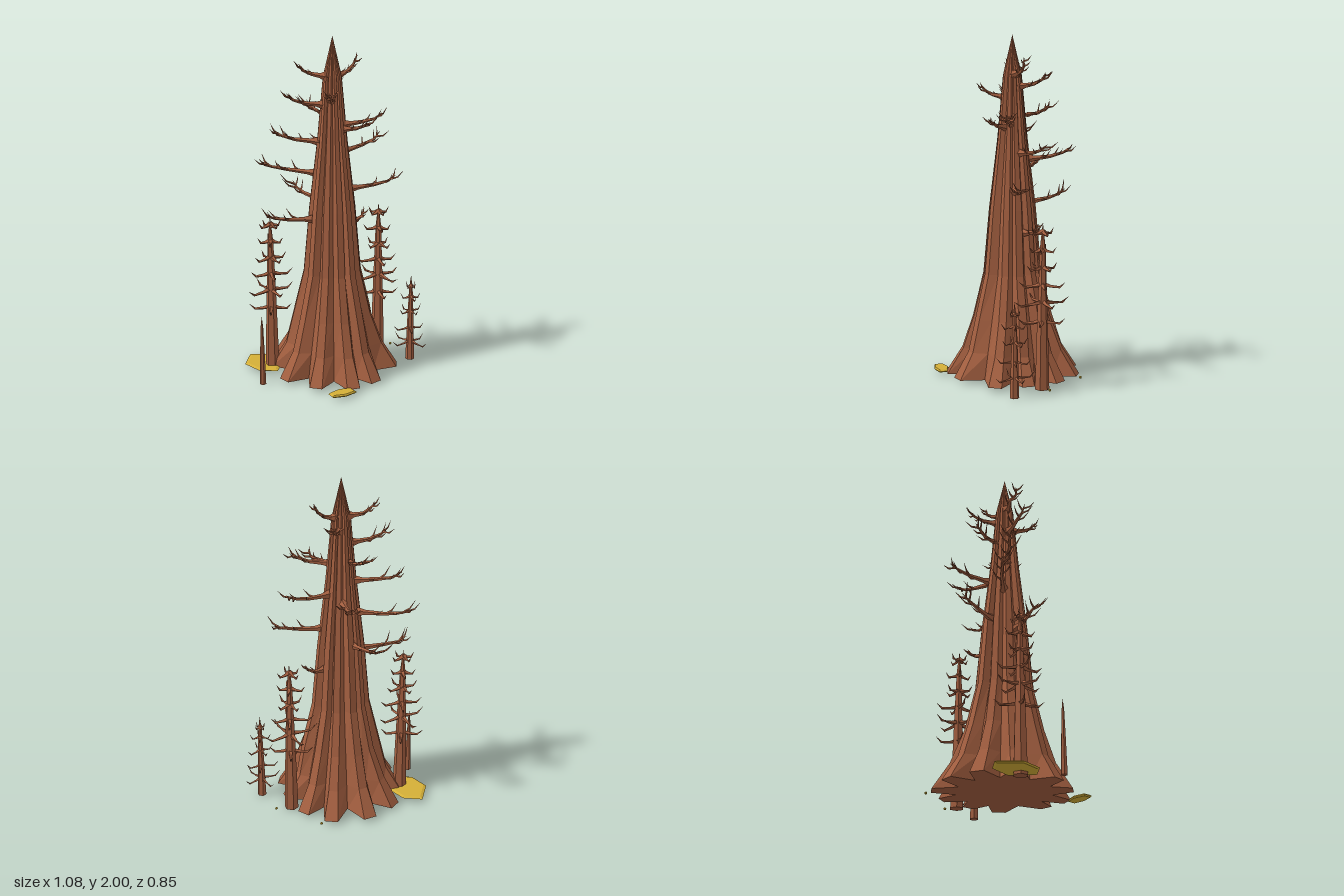
import * as THREE from 'three';
import { mergeGeometries } from 'three/addons/utils/BufferGeometryUtils.js';

const V = (x, y, z) => new THREE.Vector3(x, y, z);
const UP = V(0, 1, 0);
const bark = new THREE.MeshStandardMaterial({ color: 0xa35f40, flatShading: true });
const moss = new THREE.MeshStandardMaterial({ color: 0xd4af37, flatShading: true });

// small seeded generator, returns -1..1
let seed = 7;
const rnd = () => {
  seed = (seed * 16807) % 2147483647;
  return (seed / 2147483647) * 2 - 1;
};

// skin a list of equal-length rings and close both ends
function loft(rings) {
  const pos = [];
  const tri = (...p) => p.forEach((q) => pos.push(q.x, q.y, q.z));
  const n = rings[0].length;
  const middle = (ring) => ring.reduce((s, p) => s.add(p), V(0, 0, 0)).divideScalar(n);
  const last = rings.length - 1;
  const c0 = middle(rings[0]), c1 = middle(rings[last]);
  for (let j = 0; j < n; j++) {
    const k = (j + 1) % n;
    for (let i = 0; i < last; i++) {
      const a = rings[i], b = rings[i + 1];
      tri(a[j], a[k], b[k]);
      tri(a[j], b[k], b[j]);
    }
    tri(c0, rings[0][k], rings[0][j]);
    tri(c1, rings[last][j], rings[last][k]);
  }
  const g = new THREE.BufferGeometry();
  g.setAttribute('position', new THREE.Float32BufferAttribute(pos, 3));
  g.computeVertexNormals();
  return g;
}

// tapered, faceted limb along a few points
function limb(points, radii, sides = 4) {
  return loft(points.map((p, i) => {
    const d = points[Math.min(i + 1, points.length - 1)].clone()
      .sub(points[Math.max(i - 1, 0)]).normalize();
    const u = V(0, 0, 1).addScaledVector(d, -d.z);
    if (u.lengthSq() < 0.05) u.set(1, 0, 0).addScaledVector(d, -d.x);
    u.normalize();
    const v = d.clone().cross(u);
    return Array.from({ length: sides }, (_, j) => {
      const a = (j / sides) * Math.PI * 2;
      return p.clone().addScaledVector(u, Math.cos(a) * radii[i])
        .addScaledVector(v, Math.sin(a) * radii[i]);
    });
  }));
}

function add(group, name, geometry, material = bark) {
  const mesh = new THREE.Mesh(geometry, material);
  mesh.name = name;
  group.add(mesh);
  return mesh;
}

// fluted trunk: every root gives two ridge points and one valley
function trunk() {
  const roots = [[-0.1, 0.39], [0.33, 0.375], [1.1, 0.385], [1.62, 0.36], [2.19, 0.38], [2.67, 0.4],
    [3.27, 0.4], [3.78, 0.4], [4.34, 0.37], [5.01, 0.38], [5.6, 0.375]];
  const levels = [ // height, ridge radius, valley radius, ridge half angle
    [0.02, 0.385, 0.265, 0.1], [0.17, 0.292, 0.235, 0.09], [0.36, 0.232, 0.195, 0.1],
    [0.62, 0.17, 0.138, 0.12], [1.0, 0.136, 0.11, 0.13], [1.4, 0.088, 0.07, 0.14],
    [1.77, 0.054, 0.043, 0.14], [2.0, 0.0005, 0.0005, 0.14]];
  return loft(levels.map(([y, ridge, valley, half], level) => {
    const ring = [];
    const at = (a, r) => ring.push(V(-0.04 + Math.sin(a) * r, y, -0.03 + Math.cos(a) * r));
    roots.forEach(([a, r], i) => {
      const next = i + 1 < roots.length ? roots[i + 1][0] : roots[0][0] + Math.PI * 2;
      const R = level < 2 ? ridge * r / 0.385 : ridge * (1 + 0.04 * Math.sin(i * 2.4));
      at(a - half, R);
      at(a + half, R);
      at((a + next) / 2, valley);
    });
    return ring;
  }));
}

// dead branch: flared foot, slightly drooping arm, upswept twigs
function deadBranch(tip, y0, r0) {
  const axis = V(-0.04, y0, -0.03);
  const out = V(tip.x - axis.x, 0, tip.z - axis.z);
  const reach = out.length();
  out.normalize();
  const side = V(out.z, 0, -out.x);
  const at = (r, y, s = 0) => axis.clone().addScaledVector(out, r).addScaledVector(side, s).setY(y);
  const len = reach - r0, rise = tip.y - y0;
  const path = [at(r0 * 0.6, y0 - 0.005), at(r0 + 0.15 * len, y0), at(r0 + 0.5 * len, y0 + 0.15 * rise, 0.01 * rnd()),
    at(r0 + 0.8 * len, y0 + 0.45 * rise, 0.015 * rnd()), tip];
  const parts = [limb(path, [0.036, 0.015, 0.011, 0.008, 0.0005], 5)];
  [[1, 0.4], [2, 0], [2, 0.5], [3, 0], [3, 0.3], [3, 0.5]].forEach(([i, t], k) => {
    const p = path[i].clone().lerp(path[i + 1], t);
    const s = k % 2 ? 1 : -1;
    const dir = out.clone().multiplyScalar(0.65).addScaledVector(side, s * (0.75 + 0.2 * rnd()))
      .addScaledVector(UP, 0.2 + 0.15 * rnd()).normalize();
    const l = Math.min(0.075, len * 0.38) * (1 + 0.25 * rnd());
    const mid = p.clone().addScaledVector(dir, l * 0.55);
    const end = p.clone().addScaledVector(dir, l).addScaledVector(UP, l * 0.35);
    parts.push(limb([p, mid, end], [0.007, 0.005, 0.0004], 4));
  });
  return mergeGeometries(parts);
}

// small dead tree with tiers of spiky branches
function snag(name, x, z, height, radius, tiers) {
  const g = new THREE.Group();
  g.name = name;
  g.position.set(x, 0, z);
  add(g, name + 'Trunk', limb([V(0, 0, 0), V(0, height * 0.45, 0), V(0, height * 0.85, 0), V(0, height, 0)],
    [radius, radius * 0.72, radius * 0.4, 0.0005], 6));
  const spikes = [];
  tiers.forEach(([y, reach], t) => {
    for (let k = 0; k < 4; k++) {
      const a = k * Math.PI / 2 + (t % 2 ? 0.25 : -0.3) + 0.2 * rnd();
      const l = reach * (0.92 + 0.12 * rnd());
      const at = (f, h) => V(Math.cos(a) * l * f, y + h, Math.sin(a) * l * f);
      spikes.push(limb([at(0, 0.012), at(0.35, 0), at(0.75, -0.005), at(1, 0.025)],
        [radius * 0.4, radius * 0.24, radius * 0.17, 0.0005], 4));
    }
  });
  if (spikes.length) add(g, name + 'Branches', mergeGeometries(spikes));
  return g;
}

// flat ground patch with a bevelled rim
function patch(outline) {
  const cx = outline.reduce((s, p) => s + p[0], 0) / outline.length;
  const cz = outline.reduce((s, p) => s + p[1], 0) / outline.length;
  const ring = (k, y) => outline.map(([x, z]) => V(cx + (x - cx) * k, y, cz + (z - cz) * k));
  return loft([ring(0.9, 0.016), ring(1, 0.023), ring(0.85, 0.031)]);
}

export function createModel() {
  seed = 7;
  const model = new THREE.Group();
  model.name = 'deadGiantTree';
  add(model, 'trunk', trunk());

  // branches: tip x, y, z, foot height, trunk radius there
  const branches = new THREE.Group();
  branches.name = 'branches';
  [[-0.23, 1.85, -0.07, 1.78, 0.05], [0.13, 1.88, -0.06, 1.78, 0.05], [0.08, 1.79, -0.2, 1.71, 0.055],
    [-0.31, 1.69, -0.06, 1.62, 0.065], [-0.13, 1.71, 0.13, 1.65, 0.06], [0.23, 1.56, 0.06, 1.5, 0.07],
    [0.1, 1.53, 0.14, 1.48, 0.075], [-0.1, 1.6, -0.27, 1.54, 0.07], [-0.35, 1.46, -0.18, 1.4, 0.085],
    [0.32, 1.4, -0.15, 1.33, 0.09], [0.02, 1.36, -0.37, 1.29, 0.095], [-0.39, 1.26, -0.27, 1.21, 0.1],
    [0.36, 1.16, -0.01, 1.11, 0.115], [-0.15, 1.09, -0.38, 1.03, 0.12], [-0.44, 0.99, -0.06, 0.95, 0.135],
    [0.21, 0.94, -0.13, 0.87, 0.14],
  ].forEach(([x, y, z, y0, r0], i) => add(branches, 'branch' + (i + 1), deadBranch(V(x, y, z), y0, r0)));
  model.add(branches);

  // dead saplings around the foot
  const tall = [[0.9, 0.075], [0.8, 0.09], [0.7, 0.11], [0.6, 0.14], [0.5, 0.175], [0.39, 0.145]];
  model.add(
    snag('rightSnag', -0.385, -0.15, 0.95, 0.042, tall),
    snag('leftSnag', 0.305, -0.13, 0.96, 0.042, tall),
    snag('smallSnag', 0.435, 0.06, 0.54, 0.027,
      [[0.47, 0.04], [0.4, 0.075], [0.31, 0.09], [0.2, 0.105], [0.11, 0.13]]),
    snag('bareSpike', -0.515, 0.033, 0.42, 0.019, []));

  // yellow patches and pebbles on the ground
  add(model, 'backPatch', patch([[-0.535, -0.22], [-0.49, -0.1], [-0.39, -0.05], [-0.3, -0.18],
    [-0.35, -0.3], [-0.455, -0.35]]), moss);
  add(model, 'frontPatch', patch([[-0.24, 0.36], [-0.235, 0.41], [-0.155, 0.422], [-0.08, 0.4],
    [-0.09, 0.348], [-0.165, 0.335]]), moss);
  [[0.2, -0.385], [0.405, -0.15]].forEach(([x, z], i) =>
    add(model, 'pebble' + (i + 1), new THREE.IcosahedronGeometry(0.009, 0), moss).position.set(x, 0.022, z));
  return model;
}
